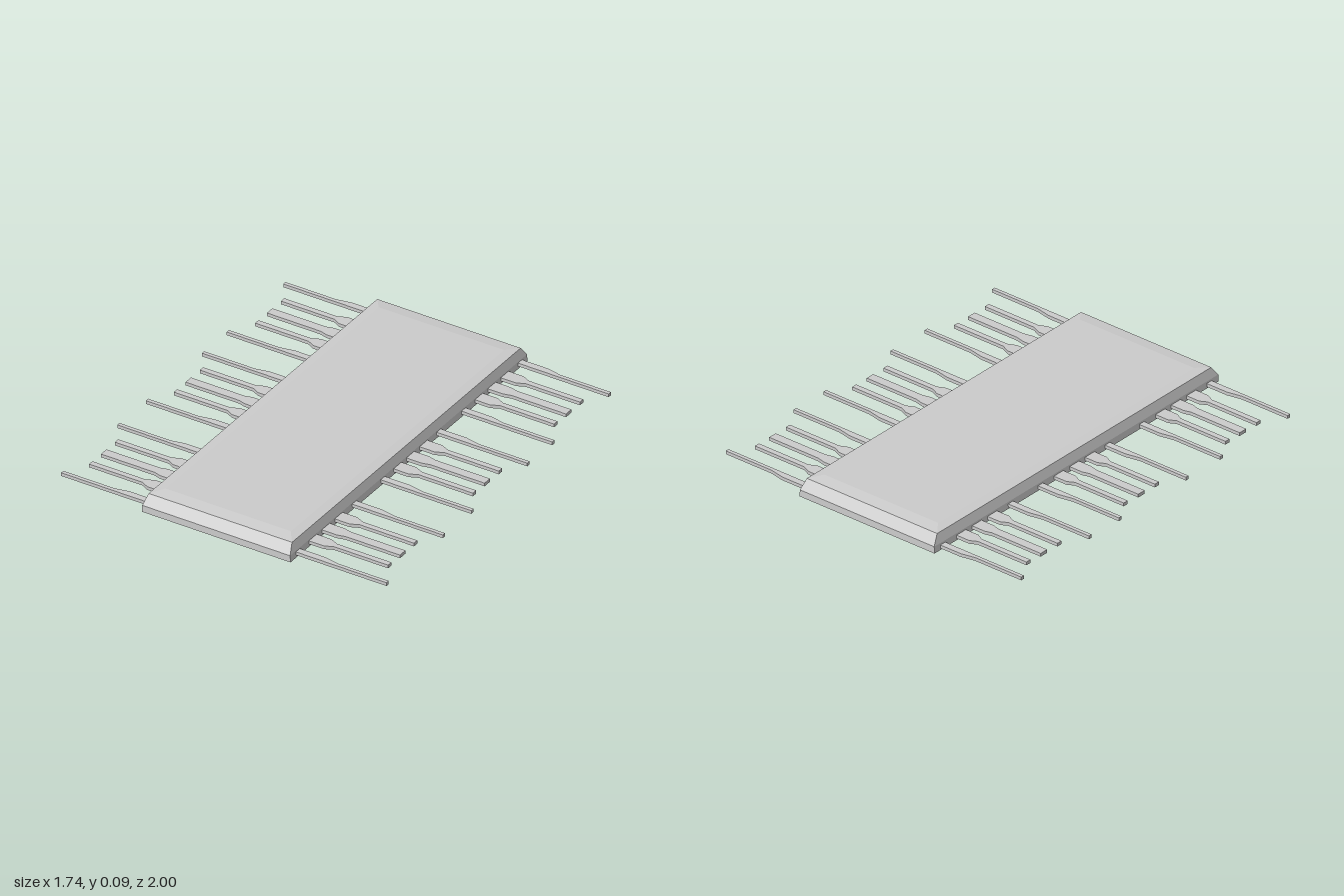
import * as THREE from 'three';

const material = new THREE.MeshStandardMaterial({ color: 0xcccccc, flatShading: true });

// Closed solid through a stack of rectangular rings: [y, xMin, xMax, zHalf]
function stackGeometry(rings) {
  const pos = [], idx = [];
  for (const [y, x0, x1, z] of rings) pos.push(x0, y, z, x1, y, z, x1, y, -z, x0, y, -z);
  for (let r = 0; r < rings.length - 1; r++) {
    for (let i = 0; i < 4; i++) {
      const a = r * 4 + i, b = r * 4 + (i + 1) % 4;
      idx.push(a, b, b + 4, a, b + 4, a + 4);
    }
  }
  const t = (rings.length - 1) * 4;
  idx.push(t, t + 1, t + 2, t, t + 2, t + 3, 0, 2, 1, 0, 3, 2);
  const g = new THREE.BufferGeometry();
  g.setAttribute('position', new THREE.Float32BufferAttribute(pos, 3));
  g.setIndex(idx);
  const flat = g.toNonIndexed();
  flat.computeVertexNormals();
  return flat;
}

// Flat pin: a wide root tapering to a narrow tip.
// Root and tip are [zMin, zMax]; xs is [rootEnd, tipStart, tipEnd].
function pin(name, side, root, tip, xs) {
  const [rootEnd, tipStart, tipEnd] = xs.map((x) => x * side);
  const start = 0.36 * side;
  const outline = [
    [start, root[0]], [rootEnd, root[0]], [tipStart, tip[0]], [tipEnd, tip[0]],
    [tipEnd, tip[1]], [tipStart, tip[1]], [rootEnd, root[1]], [start, root[1]],
  ];
  const shape = new THREE.Shape(outline.map(([x, z]) => new THREE.Vector2(x, -z)));
  const g = new THREE.ExtrudeGeometry(shape, { depth: 0.017, bevelEnabled: false });
  g.rotateX(-Math.PI / 2);
  const mesh = new THREE.Mesh(g, material);
  mesh.name = name;
  mesh.position.y = side > 0 ? 0.013 : 0.008;
  return mesh;
}

export function createModel() {
  const model = new THREE.Group();
  model.name = 'chipPackage';

  // Body with chamfered sides and a faintly domed lid
  const body = new THREE.Mesh(stackGeometry([
    [0, -0.408, 0.387, 1],
    [0.035, -0.406, 0.385, 1],
    [0.084, -0.394, 0.373, 0.965],
    [0.092, -0.345, 0.325, 0.9],
  ]), material);
  body.name = 'body';
  model.add(body);

  for (const side of [-1, 1]) {
    const pins = new THREE.Group();
    pins.name = side > 0 ? 'leftPins' : 'rightPins';

    // Long thin pins, straight on one edge
    for (const z of [-0.923, -0.446, -0.236, 0.236, 0.477, 0.952]) {
      pins.add(pin('longPin', side, [z - 0.034, z], [z - 0.019, z], [0.525, 0.6, 0.87]));
    }
    // Short pins, symmetric; the middle one of each group is wider
    const xs = side > 0 ? [0.465, 0.507, 0.797] : [0.48, 0.515, 0.802];
    const shortPin = (name, z, half) =>
      pins.add(pin(name, side, [z - 0.033, z + 0.033], [z - half, z + half], xs));
    for (const z of [-0.81, -0.592, -0.125, 0.094, 0.591, 0.809]) shortPin('shortPin', z, 0.014);
    for (const z of [-0.701, -0.014, 0.7]) shortPin('widePin', z, 0.023);

    model.add(pins);
  }
  return model;
}
